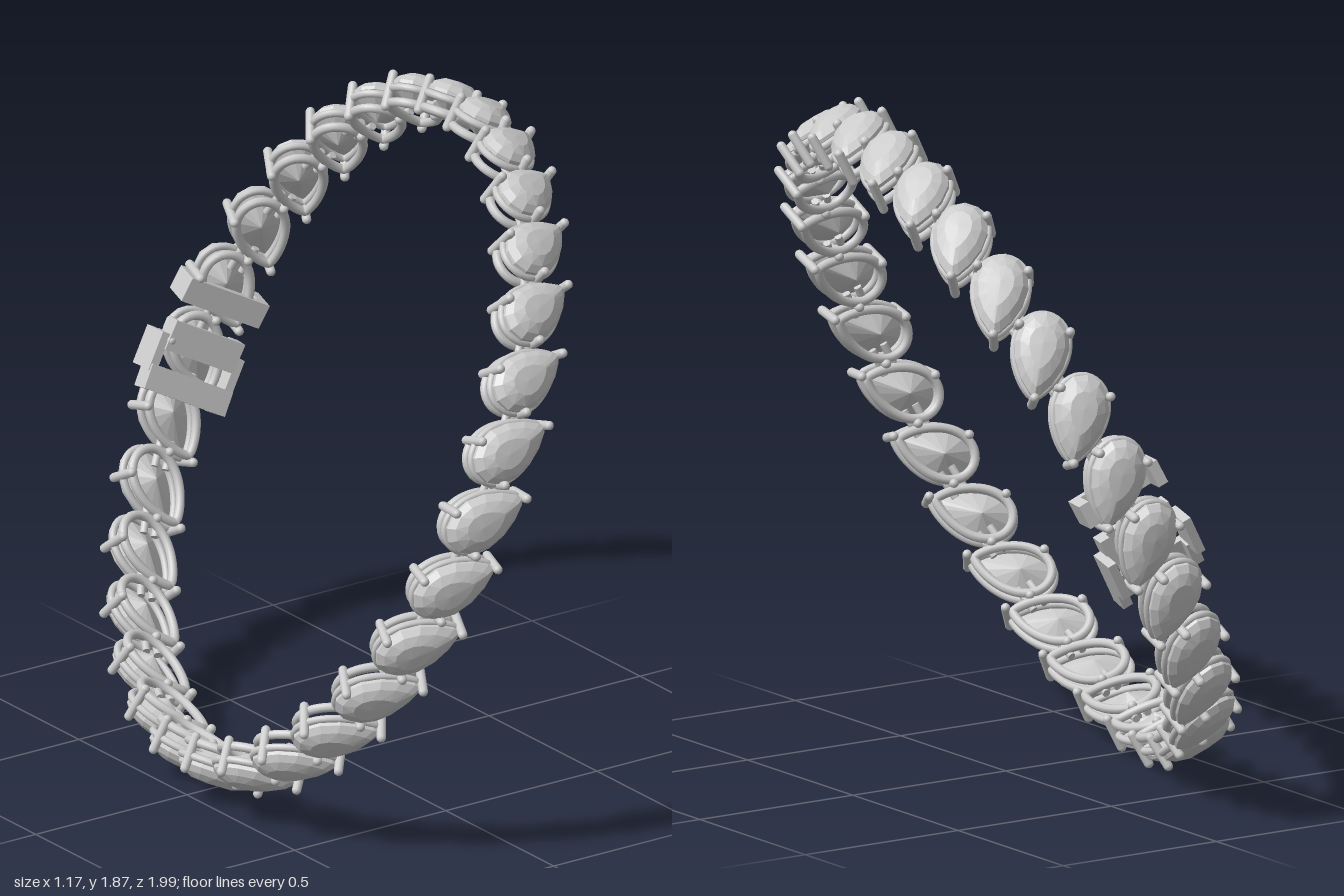
import * as THREE from 'three';

const RADIUS = 0.968;   // girdle radius of the band
const COUNT = 30;
const STEP = (Math.PI * 2) / COUNT;
const LENGTH = 0.24, WIDTH = 0.15;

const metal = new THREE.MeshStandardMaterial({ color: 0xcccccc });
const gem = new THREE.MeshStandardMaterial({ color: 0xcccccc, flatShading: true });

// Pear outline: tip at a = 0 on +x, round end on -x
function pear(a, y = 0, scale = 1) {
  const cx = -0.025;
  const x = (LENGTH / 2) * Math.cos(a);
  const z = (WIDTH / 2) * 1.19 * Math.sin(a) * Math.pow(Math.abs(Math.sin(a / 2)), 0.6);
  return new THREE.Vector3(cx + (x - cx) * scale, y, z * scale);
}

// Faceted gem: staggered pear rings from the crown centre down to the culet
function gemGeometry() {
  const n = 14;
  const levels = [[0, 0.036], [0.5, 0.033], [0.82, 0.019], [1, 0.002], [1, -0.008], [0, -0.065]];
  const point = (k, i) => pear(((i + (k === 1 ? 0.5 : 0)) / n) * Math.PI * 2, levels[k][1], levels[k][0]);
  const pts = [];
  for (let k = 0; k < levels.length - 1; k++) {
    for (let i = 0; i < n; i++) {
      const a = point(k, i), b = point(k, i + 1), c = point(k + 1, i), d = point(k + 1, i + 1);
      if (levels[k + 1][0] > 0) pts.push(a, d, c);
      if (levels[k][0] > 0) pts.push(a, b, d);
    }
  }
  const g = new THREE.BufferGeometry().setFromPoints(pts);
  g.computeVertexNormals();
  return g;
}

// Pear-shaped wire of the basket
function railGeometry(y, scale, thickness) {
  const pts = [];
  for (let i = 0; i < 24; i++) pts.push(pear((-i / 24) * Math.PI * 2, y, scale));
  return new THREE.TubeGeometry(new THREE.CatmullRomCurve3(pts, true), 40, thickness, 8, true);
}

function named(name, geometry, material, x = 0, y = 0, z = 0) {
  const m = new THREE.Mesh(geometry, material);
  m.name = name;
  m.position.set(x, y, z);
  return m;
}

export function createModel() {
  const model = new THREE.Group();
  model.name = 'bracelet';
  const band = new THREE.Group();
  band.name = 'band';
  model.add(band);

  // Tilted ring plane: z is the ring axis, y points to the front stone
  const axis = new THREE.Vector3(0.865, -0.45, 0.215).normalize();
  const front = new THREE.Vector3(0, 0, 1).addScaledVector(axis, -axis.z).normalize();
  const rise = new THREE.Vector3().crossVectors(front, axis);
  band.quaternion.setFromRotationMatrix(new THREE.Matrix4().makeBasis(rise, front, axis));
  band.position.y = 0.935;

  // Holder turned to an angle round the ring; x tangent, y outward, z across
  const station = (name, angle) => {
    const g = new THREE.Group();
    g.name = name;
    g.rotation.z = -angle;
    band.add(g);
    return g;
  };

  const stoneGeo = gemGeometry();
  const upperRail = railGeometry(-0.02, 0.97, 0.011);
  const lowerRail = railGeometry(-0.06, 0.9, 0.013);
  const prongGeo = new THREE.CapsuleGeometry(0.013, 0.09, 4, 10);
  const linkGeo = new THREE.CylinderGeometry(0.011, 0.011, 0.08, 8).rotateZ(Math.PI / 2);
  const pinGeo = new THREE.CylinderGeometry(0.012, 0.012, 0.05, 8).rotateX(Math.PI / 2);
  const prongAngles = [0, 2.2, -2.2];

  for (let i = 0; i < COUNT; i++) {
    // Stone in its basket, set diagonally across the band
    const holder = station('stoneLink', i * STEP);
    const setting = new THREE.Group();
    setting.name = 'setting';
    setting.position.y = RADIUS;
    setting.rotation.y = -THREE.MathUtils.degToRad(41);
    holder.add(setting);
    setting.add(
      named('pearStone', stoneGeo, gem),
      named('upperRail', upperRail, metal),
      named('lowerRail', lowerRail, metal));
    for (const a of prongAngles) {
      const p = pear(a, -0.027, 1.03);
      setting.add(named('prong', prongGeo, metal, p.x, p.y, p.z));
    }
    // Hinge to the next stone
    const hinge = station('hinge', (i + 0.5) * STEP);
    for (const z of [-0.018, 0.018]) hinge.add(named('hingeBar', linkGeo, metal, 0, 0.925, z));
    hinge.add(named('hingePin', pinGeo, metal, 0, 0.925, 0));
  }

  // Clasp: cross bars under the stones with upturned ends
  const clasp = [
    { name: 'claspUpperBar', deg: 170, width: 0.07, length: 0.25, lug: 0.09 },
    { name: 'claspPlate', deg: 178.5, width: 0.085, length: 0.22, lug: 0.05 },
    { name: 'claspLowerBar', deg: 186.5, width: 0.07, length: 0.26, lug: 0.06 },
  ];
  for (const { name, deg, width, length, lug } of clasp) {
    const g = station(name, THREE.MathUtils.degToRad(deg));
    g.add(named('bar', new THREE.BoxGeometry(width, 0.025, length), metal, 0, 0.9, 0));
    for (const s of [-1, 1])
      g.add(named('endLug', new THREE.BoxGeometry(width, lug, 0.03), metal, 0, 0.89 + lug / 2, s * (length / 2 - 0.015)));
  }
  // Side catches joining the plate to the lower bar
  const catches = station('claspCatches', THREE.MathUtils.degToRad(182));
  for (const s of [-1, 1])
    catches.add(named('sideCatch', new THREE.BoxGeometry(0.11, 0.1, 0.025), metal, 0, 0.945, s * 0.12));

  return model;
}
